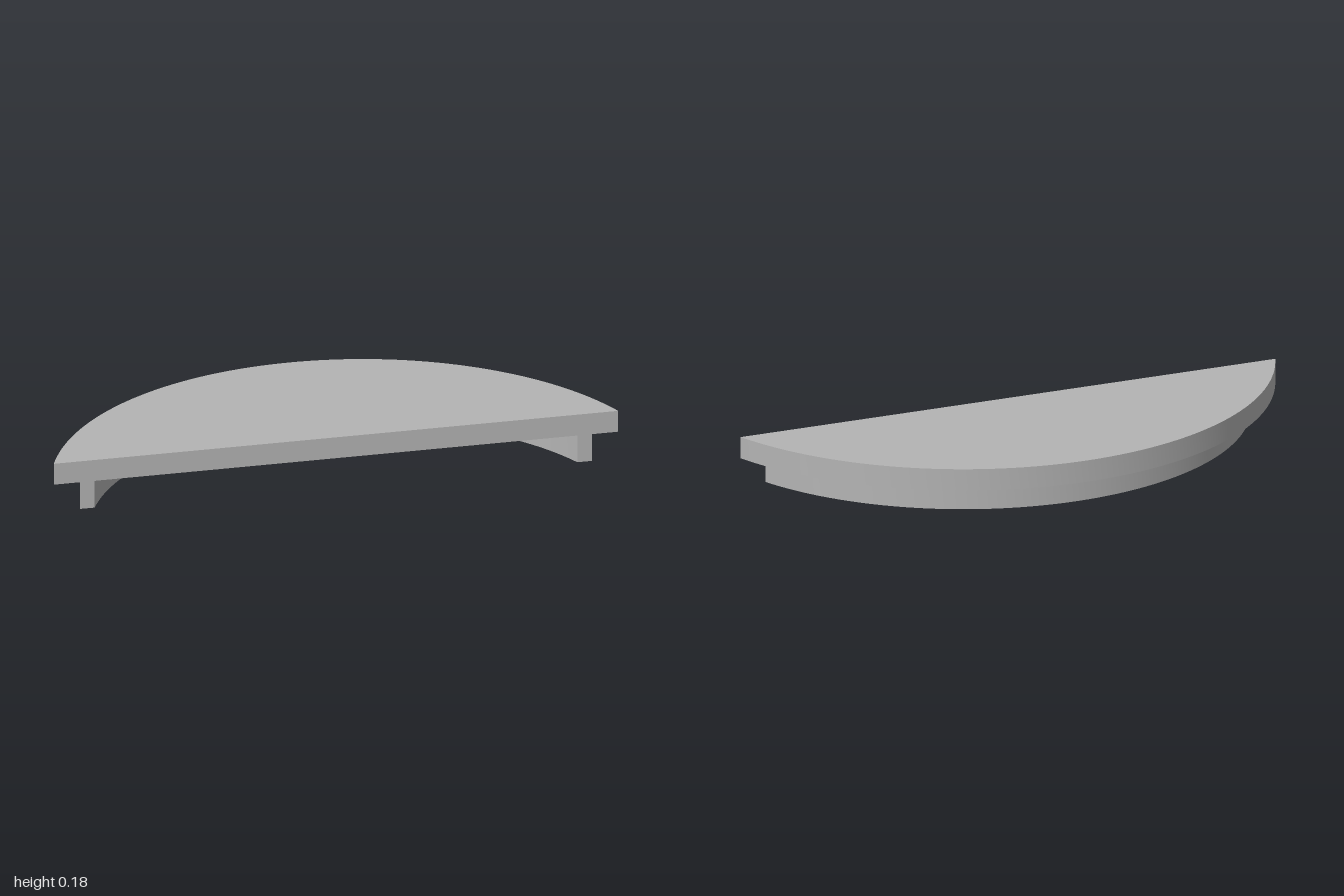
import * as THREE from 'three';
import { toCreasedNormals } from 'three/addons/utils/BufferGeometryUtils.js';

const CENTER_Z = 0.735; // shared centre of all arcs
const FRONT_Z = 0.34; // plane of the straight cut

// Angle at which an arc of radius r meets the straight cut
const cutAngle = (r) => Math.asin((CENTER_Z - FRONT_Z) / r);

// Extrudes a plan outline upward from y0 to y1
function slab(name, shape, y0, y1, material) {
  const flat = new THREE.ExtrudeGeometry(shape, { depth: y1 - y0, bevelEnabled: false, curveSegments: 48 });
  flat.rotateX(-Math.PI / 2);
  flat.translate(0, y0, CENTER_Z);
  const mesh = new THREE.Mesh(toCreasedNormals(flat, 0.5), material);
  mesh.name = name;
  return mesh;
}

export function createModel() {
  const group = new THREE.Group();
  group.name = 'segmentLid';
  const grey = new THREE.MeshStandardMaterial({ color: 0xb4b4b4 });
  grey.name = 'grey';

  // Top plate: a circular segment closed by its chord
  const plateR = 1.0753;
  const a = cutAngle(plateR);
  const plate = new THREE.Shape();
  plate.absarc(0, 0, plateR, a, Math.PI - a, false);
  plate.closePath();
  group.add(slab('topPlate', plate, 0.1, 0.178, grey));

  // Curved lip below, cut off flush with the front of the plate
  const outerR = 0.99, innerR = 0.942;
  const o = cutAngle(outerR), i = cutAngle(innerR);
  const lip = new THREE.Shape();
  lip.absarc(0, 0, outerR, o, Math.PI - o, false);
  lip.absarc(0, 0, innerR, Math.PI - i, i, true);
  lip.closePath();
  group.add(slab('lowerLip', lip, 0, 0.1, grey));

  return group;
}
